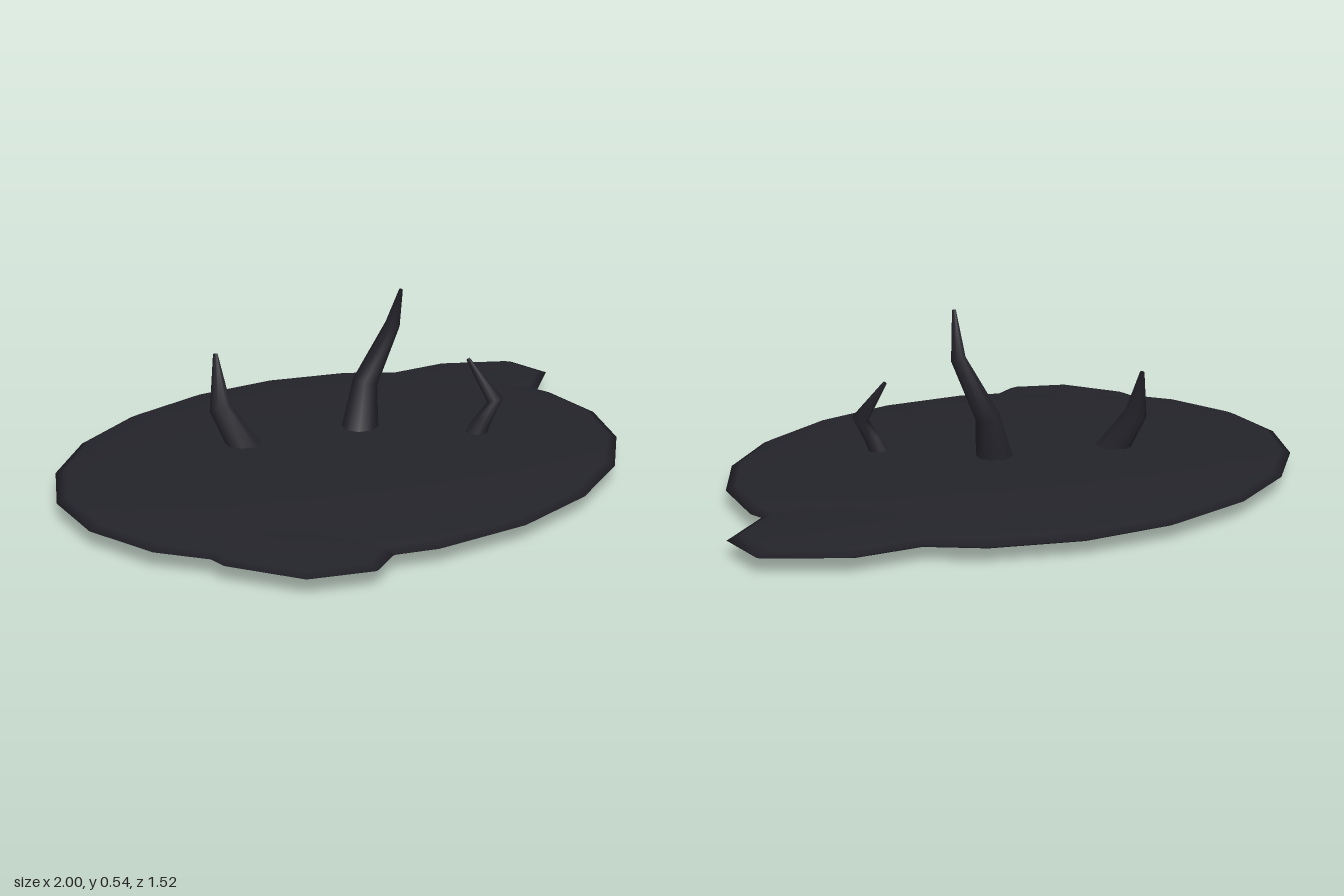
import * as THREE from 'three';

const tar = new THREE.MeshStandardMaterial({ color: 0x23232a });
tar.name = 'darkTar';

// Flattened ellipsoid resting around y = 0.05
function blob(name, sides, rings, [x, z], [rx, ry, rz]) {
  const geo = new THREE.SphereGeometry(1, sides, rings, Math.PI / 2);
  geo.scale(rx, ry, rz);
  const mesh = new THREE.Mesh(geo, tar);
  mesh.name = name;
  mesh.position.set(x, 0.05, z);
  return mesh;
}

// Tapered, crooked tendril lofted through [x, y, z, radius] stations
function tendril(name, stations, sides = 8) {
  const pts = stations.map(s => new THREE.Vector3(s[0], s[1], s[2]));
  const up = new THREE.Vector3(0, 1, 0);
  const pos = [], idx = [];
  pts.forEach((p, i) => {
    const a = pts[Math.max(i - 1, 0)], b = pts[Math.min(i + 1, pts.length - 1)];
    const q = new THREE.Quaternion().setFromUnitVectors(up, b.clone().sub(a).normalize());
    for (let k = 0; k < sides; k++) {
      const t = (k / sides) * Math.PI * 2, r = stations[i][3];
      const v = new THREE.Vector3(Math.cos(t) * r, 0, Math.sin(t) * r).applyQuaternion(q).add(p);
      pos.push(v.x, v.y, v.z);
      if (i > 0) {
        const n = (k + 1) % sides, lo = (i - 1) * sides, hi = i * sides;
        idx.push(lo + k, hi + k, lo + n, hi + k, hi + n, lo + n);
      }
    }
  });
  // Close the tip
  const last = (pts.length - 1) * sides;
  for (let k = 1; k < sides - 1; k++) idx.push(last, last + k + 1, last + k);
  const geo = new THREE.BufferGeometry();
  geo.setAttribute('position', new THREE.Float32BufferAttribute(pos, 3));
  geo.setIndex(idx);
  geo.computeVertexNormals();
  const mesh = new THREE.Mesh(geo, tar);
  mesh.name = name;
  return mesh;
}

export function createModel() {
  const group = new THREE.Group();
  group.name = 'tarPuddle';

  // Puddle body with two side lobes
  group.add(
    blob('puddle', 20, 12, [-0.08, 0], [0.92, 0.05, 0.76]),
    blob('leftLobe', 10, 8, [0.476, -0.2475], [0.55, 0.03, 0.275]),
    blob('rightLobe', 10, 8, [-0.594, 0.30], [0.29, 0.03, 0.42]),
  );

  // Tendrils rising from the surface
  group.add(
    tendril('middleTendril', [
      [0.03, 0.06, -0.055, 0.062], [0.08, 0.23, -0.082, 0.039],
      [0.158, 0.41, -0.042, 0.023], [0.12, 0.54, 0.035, 0.006],
    ]),
    tendril('rightTendril', [
      [-0.315, 0.06, -0.165, 0.052], [-0.368, 0.205, -0.236, 0.034],
      [-0.33, 0.352, -0.305, 0.007],
    ]),
    tendril('leftTendril', [
      [0.27, 0.06, 0.2, 0.036], [0.3, 0.13, 0.217, 0.026],
      [0.33, 0.193, 0.238, 0.025], [0.29, 0.316, 0.157, 0.006],
    ]),
  );
  return group;
}
